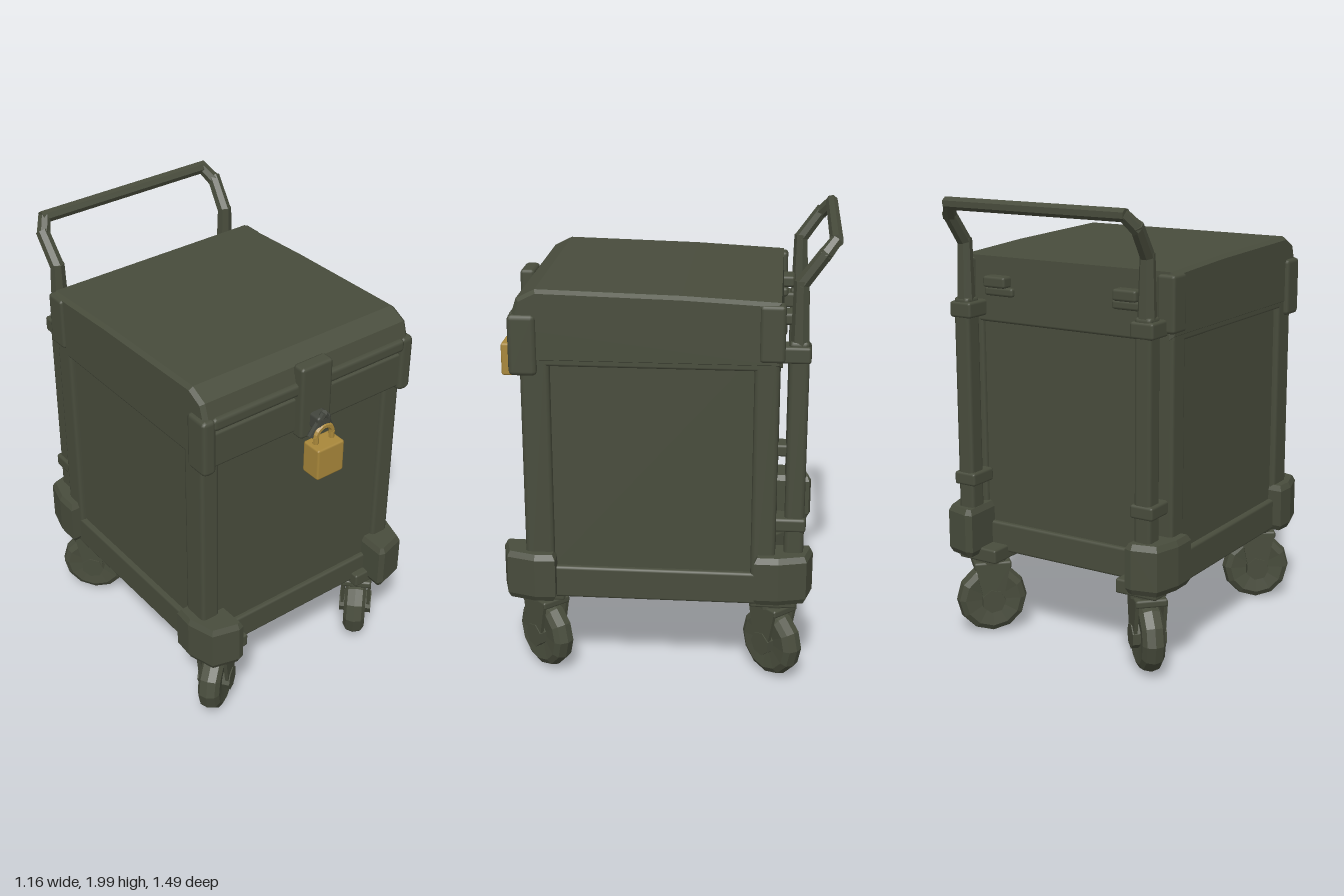
import * as THREE from 'three';
import { RoundedBoxGeometry } from 'three/addons/geometries/RoundedBoxGeometry.js';

export function createModel() {
  const root = new THREE.Group();
  root.name = 'rollingCrate';
  const olive = new THREE.MeshStandardMaterial({ color: 0x484c3c });
  olive.name = 'olive';
  const brass = new THREE.MeshStandardMaterial({ color: 0xa8873a });
  brass.name = 'brass';
  const steel = new THREE.MeshStandardMaterial({ color: 0x42453d });
  steel.name = 'dark steel';

  const add = (name, geo, mat = olive, parent = root) => {
    const m = new THREE.Mesh(geo, mat);
    m.name = name;
    parent.add(m);
    return m;
  };
  const flat = (geo) => {
    const g = geo.index ? geo.toNonIndexed() : geo;
    g.computeVertexNormals();
    return g;
  };
  // box given by its min and max on each axis, with a small chamfer
  const box = (name, x0, x1, y0, y1, z0, z1, r = 0.012, mat = olive, parent = root) => {
    const m = add(name, new RoundedBoxGeometry(x1 - x0, y1 - y0, z1 - z0, 1, r), mat, parent);
    m.position.set((x0 + x1) / 2, (y0 + y1) / 2, (z0 + z1) / 2);
    return m;
  };
  // round bar between two points
  const bar = (name, a, b, r, mat = olive, parent = root, r2 = r) => {
    const A = new THREE.Vector3(...a), B = new THREE.Vector3(...b);
    const m = add(name, flat(new THREE.CylinderGeometry(r2, r, A.distanceTo(B), 7)), mat, parent);
    m.position.copy(A).add(B).multiplyScalar(0.5);
    m.quaternion.setFromUnitVectors(new THREE.Vector3(0, 1, 0), B.sub(A).normalize());
    return m;
  };
  const shapeOf = (pts) => new THREE.Shape(pts.map((p) => new THREE.Vector2(p[0], p[1])));

  // inset panels (one core box) standing inside the frame
  box('panels', -0.505, 0.505, 0.42, 1.6, -0.485, 0.555);

  // frame: corner posts and lower rails
  for (const s of [-1, 1]) {
    const side = (name, a, b, ...rest) => box(name, Math.min(s * a, s * b), Math.max(s * a, s * b), ...rest);
    side('frontPost', 0.44, 0.53, 0.4, 1.5, 0.45, 0.575, 0.018);
    side('backPost', 0.43, 0.53, 0.4, 1.5, -0.505, -0.4, 0.018);
    side('sideRail', 0.46, 0.53, 0.385, 0.53, -0.5, 0.57);
    side('sideTopRail', 0.46, 0.53, 1.44, 1.52, -0.5, 0.57);
    // lid corner clips
    side('frontClip', 0.485, 0.55, 1.4, 1.66, 0.5, 0.62, 0.02);
    side('backClip', 0.46, 0.545, 1.48, 1.72, -0.525, -0.42, 0.015);
    // hinges on the back of the lid
    side('hinge', 0.27, 0.385, 1.6, 1.65, -0.56, -0.49);
    side('hingeLeaf', 0.25, 0.4, 1.56, 1.6, -0.53, -0.49);
  }
  box('frontRail', -0.5, 0.5, 0.385, 0.51, 0.5, 0.575);
  box('backRail', -0.5, 0.5, 0.395, 0.53, -0.505, -0.44);
  box('backTopRail', -0.5, 0.5, 1.44, 1.52, -0.505, -0.44);

  // lid: side profile (z, y) swept across the width
  const lid = new THREE.ExtrudeGeometry(shapeOf([
    [-0.5, 1.47], [0.56, 1.47], [0.575, 1.6], [0.59, 1.65], [0.57, 1.715], [0.5, 1.75], [-0.1, 1.735], [-0.49, 1.715],
  ]), { depth: 1.03, bevelThickness: 0.018, bevelSize: 0.015, bevelSegments: 1 });
  lid.translate(0, 0, -0.515);
  lid.rotateY(-Math.PI / 2);
  add('lid', lid);
  box('lidFrontBand', -0.52, 0.52, 1.42, 1.585, 0.54, 0.605);
  box('lidFrontLip', -0.5, 0.5, 1.6, 1.66, 0.56, 0.622, 0.018);

  // hasp and padlock
  const lock = new THREE.Group();
  lock.name = 'padlock';
  root.add(lock);
  box('haspStrap', -0.08, 0.08, 1.4, 1.74, 0.58, 0.645, 0.015);
  box('haspEye', -0.035, 0.035, 1.45, 1.52, 0.63, 0.7, 0.012, steel);
  bar('haspPin', [-0.055, 1.43, 0.675], [0, 1.53, 0.69], 0.015, steel);
  bar('haspPin', [0.055, 1.43, 0.675], [0, 1.53, 0.69], 0.015, steel);
  box('lockBody', -0.07, 0.07, 1.25, 1.4, 0.65, 0.748, 0.01, brass, lock);
  const shackle = add('shackle', flat(new THREE.TorusGeometry(0.042, 0.013, 6, 10, Math.PI)), brass, lock);
  shackle.position.set(0, 1.43, 0.695);
  for (const s of [-1, 1]) bar('shackleLeg', [s * 0.042, 1.39, 0.695], [s * 0.042, 1.43, 0.695], 0.013, brass, lock);

  // chamfered bumpers around the lower corners
  for (const sx of [-1, 1]) {
    for (const back of [false, true]) {
      const outline = back
        ? [[0.42, -0.43], [0.56, -0.43], [0.56, -0.52], [0.53, -0.63], [0.43, -0.655], [0.41, -0.65]]
        : [[0.41, 0.455], [0.56, 0.455], [0.565, 0.53], [0.53, 0.645], [0.42, 0.675], [0.405, 0.67]];
      const g = new THREE.ExtrudeGeometry(shapeOf(outline.map(([x, z]) => [sx * x, -z])),
        { depth: 0.17, bevelThickness: 0.025, bevelSize: 0.013, bevelSegments: 1 });
      g.rotateX(-Math.PI / 2);
      g.translate(0, back ? 0.425 : 0.405, 0);
      add(back ? 'backCornerBumper' : 'frontCornerBumper', g);
    }
  }

  // push handle
  const handle = new THREE.Group();
  handle.name = 'handle';
  root.add(handle);
  for (const s of [-1, 1]) {
    const x = s * 0.455;
    box('handlePost', x - 0.04, x + 0.04, 0.58, 1.56, -0.625, -0.54, 0.018, olive, handle);
    bar('handleNeck', [x, 1.5, -0.585], [x, 1.81, -0.583], 0.042, olive, handle, 0.032);
    bar('handleBend', [x, 1.79, -0.58], [s * 0.462, 1.93, -0.68], 0.032, olive, handle, 0.03);
    bar('handleCorner', [s * 0.464, 1.91, -0.668], [s * 0.425, 1.972, -0.718], 0.031, olive, handle, 0.027);
    for (const [y0, y1] of [[1.47, 1.54], [0.72, 0.78]]) {
      box('handleBracket', x - 0.055, x + 0.055, y0, y1, -0.632, -0.49, 0.012, olive, handle);
    }
  }
  bar('handleGrip', [-0.44, 1.97, -0.717], [0.44, 1.97, -0.717], 0.028, olive, handle);

  // swivel casters, each turned its own way
  const tire = [[0.05, -0.04], [0.125, -0.05], [0.15, -0.035], [0.16, 0], [0.15, 0.035], [0.125, 0.05], [0.05, 0.04]];
  const caster = (x, z, yaw) => {
    const g = new THREE.Group();
    g.name = 'caster';
    g.position.set(x, 0, z);
    g.rotation.y = yaw;
    root.add(g);
    const wheel = add('wheel', flat(new THREE.LatheGeometry(tire.map((p) => new THREE.Vector2(...p)), 12)), olive, g);
    wheel.rotation.z = Math.PI / 2;
    wheel.position.y = 0.165;
    bar('axle', [-0.075, 0.165, 0], [0.075, 0.165, 0], 0.055, olive, g);
    // tapered fork cheeks
    for (const s of [-1, 1]) {
      const cheek = new THREE.ExtrudeGeometry(shapeOf([[-0.08, 0.34], [-0.035, 0.13], [0.035, 0.13], [0.08, 0.34]]),
        { depth: 0.016, bevelEnabled: false });
      cheek.rotateY(Math.PI / 2);
      cheek.translate(s * 0.062 - 0.008, 0, 0);
      add('forkCheek', cheek, olive, g);
    }
    box('forkCrown', -0.07, 0.07, 0.315, 0.35, -0.085, 0.085, 0.01, olive, g);
    bar('swivel', [0, 0.34, 0], [0, 0.4, 0], 0.08, olive, g);
    box('mountPlate', x - 0.1, x + 0.1, 0.365, 0.43, z - 0.1, z + 0.1, 0.01);
  };
  const q = Math.PI / 4;
  caster(0.425, 0.51, -q);
  caster(-0.41, 0.51, -q * 1.2);
  caster(0.42, -0.5, -q);
  caster(-0.41, -0.5, q);

  return root;
}
